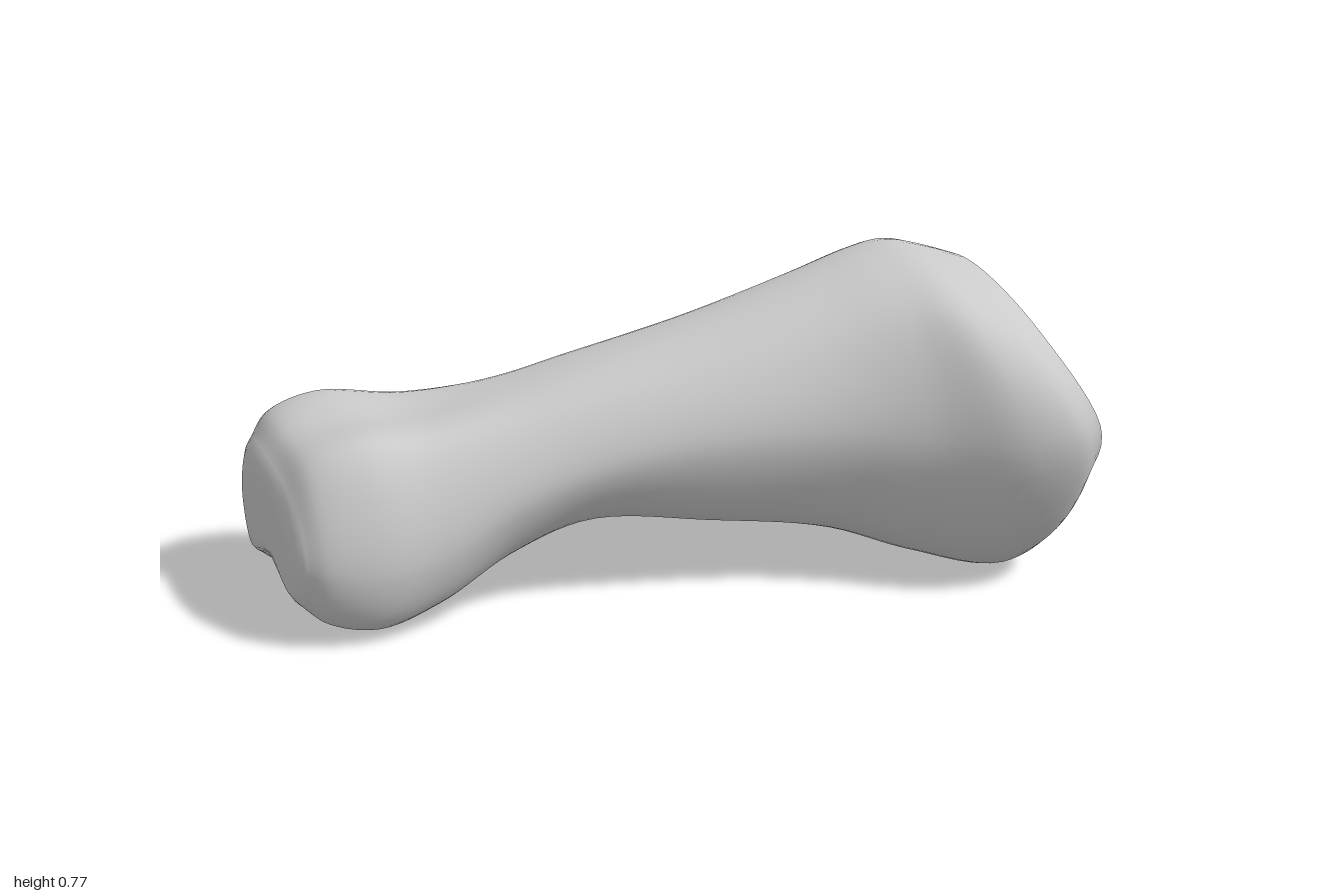
import * as THREE from 'three';

// Bone axis and width direction in the ground plane
const U = new THREE.Vector3(0.54, 0, -0.842);
const W = new THREE.Vector3(0.842, 0, 0.54);
const AROUND = 56, ALONG = 72;

// Cross-sections along the bone:
// s, left t,y, right t,y, top heights (left, mid, right), bottom heights (right, mid, left)
const SECTIONS = [
  [-1.05, -0.29, 0.20, 0.275, 0.22, 0.37, 0.39, 0.36, 0.10, 0.13, 0.07],
  [-1.00, -0.325, 0.19, 0.305, 0.21, 0.43, 0.44, 0.42, 0.06, 0.11, 0.025],
  [-0.88, -0.34, 0.20, 0.315, 0.20, 0.47, 0.47, 0.46, 0.035, 0.10, 0.01],
  [-0.70, -0.285, 0.24, 0.285, 0.22, 0.46, 0.475, 0.455, 0.07, 0.14, 0.06],
  [-0.50, -0.255, 0.31, 0.25, 0.30, 0.48, 0.515, 0.48, 0.15, 0.20, 0.15],
  [-0.30, -0.25, 0.36, 0.235, 0.36, 0.53, 0.565, 0.52, 0.21, 0.21, 0.20],
  [0.00, -0.27, 0.40, 0.255, 0.40, 0.60, 0.64, 0.57, 0.18, 0.19, 0.18],
  [0.30, -0.32, 0.43, 0.30, 0.40, 0.685, 0.72, 0.63, 0.14, 0.145, 0.145],
  [0.50, -0.43, 0.43, 0.37, 0.38, 0.715, 0.76, 0.67, 0.075, 0.075, 0.105],
  [0.70, -0.505, 0.44, 0.47, 0.38, 0.72, 0.77, 0.68, 0.04, 0.03, 0.075],
  [0.83, -0.505, 0.46, 0.49, 0.42, 0.70, 0.755, 0.665, 0.12, 0.08, 0.12],
  [0.91, -0.465, 0.49, 0.465, 0.46, 0.675, 0.735, 0.65, 0.25, 0.18, 0.21],
];

// Place a section point; the head is skewed sideways, the base's rim leans back at the top
function place(s, t, y) {
  const skew = 0.2 * THREE.MathUtils.smoothstep(-s, 0.4, 0.95);
  const lean = THREE.MathUtils.smoothstep(s, 0.35, 0.89);
  const along = s + skew * t - lean * (y > 0.4 ? 0.5 : 0.1) * (y - 0.4);
  return new THREE.Vector3(0, y, 0).addScaledVector(U, along).addScaledVector(W, t);
}

function sectionPoints([s, tL, yL, tR, yR, yTL, yT, yTR, yBR, yB, yBL]) {
  const k = 0.65;
  // the two condyles under the head sit further apart
  const kB = 0.62 + 0.2 * THREE.MathUtils.smoothstep(-s, 0.4, 0.85);
  return [[tL, yL], [k * tL, yTL], [0, yT], [k * tR, yTR],
    [tR, yR], [kB * tR, yBR], [0, yB], [kB * tL, yBL]].map(([t, y]) => place(s, t, y));
}

// Shrink a ring toward its centre and push it along the axis
function inset(ring, scale, push) {
  const c = ring.reduce((a, p) => a.add(p), new THREE.Vector3()).divideScalar(ring.length);
  return ring.map(p => c.clone().lerp(p, scale).addScaledVector(U, push));
}

// Skin a list of closed rings
function skin(rings, name) {
  const pos = [], index = [];
  rings.forEach(r => r.forEach(p => pos.push(p.x, p.y, p.z)));
  for (let i = 0; i < rings.length - 1; i++) {
    for (let j = 0; j < AROUND; j++) {
      const a = i * AROUND + j, b = i * AROUND + (j + 1) % AROUND;
      index.push(a, b, a + AROUND, b, b + AROUND, a + AROUND);
    }
  }
  const g = new THREE.BufferGeometry();
  g.setAttribute('position', new THREE.Float32BufferAttribute(pos, 3));
  g.setIndex(index);
  g.computeVertexNormals();
  const mesh = new THREE.Mesh(g, new THREE.MeshStandardMaterial({ color: 0xcccccc }));
  mesh.name = name;
  return mesh;
}

export function createModel() {
  const group = new THREE.Group();
  group.name = 'toeBone';

  // Smooth lengthwise lines, then smooth closed rings across them
  const sections = SECTIONS.map(sectionPoints);
  const lines = sections[0].map((_, j) => new THREE.CatmullRomCurve3(sections.map(r => r[j])));
  const rings = [];
  for (let i = 0; i <= ALONG; i++) {
    const curve = new THREE.CatmullRomCurve3(lines.map(l => l.getPoint(i / ALONG)), true);
    rings.push(Array.from({ length: AROUND }, (_, j) => curve.getPoint(j / AROUND)));
  }

  // Shaft with the rounded head closed by a shallow dome
  const dome = [[0, -0.02], [0.35, -0.02], [0.65, -0.02], [0.85, -0.017], [0.95, -0.008]]
    .map(([k, push]) => inset(rings[0], k, push));
  group.add(skin([...dome, ...rings], 'shaftAndHead'));

  // Shallow joint socket with a crisp rim
  const rim = rings[ALONG];
  const socket = [[1, 0], [0.9, -0.006], [0.7, -0.018], [0.4, -0.032], [0, -0.04]]
    .map(([k, push]) => inset(rim, k, push));
  group.add(skin(socket, 'jointSocket'));

  return group;
}
